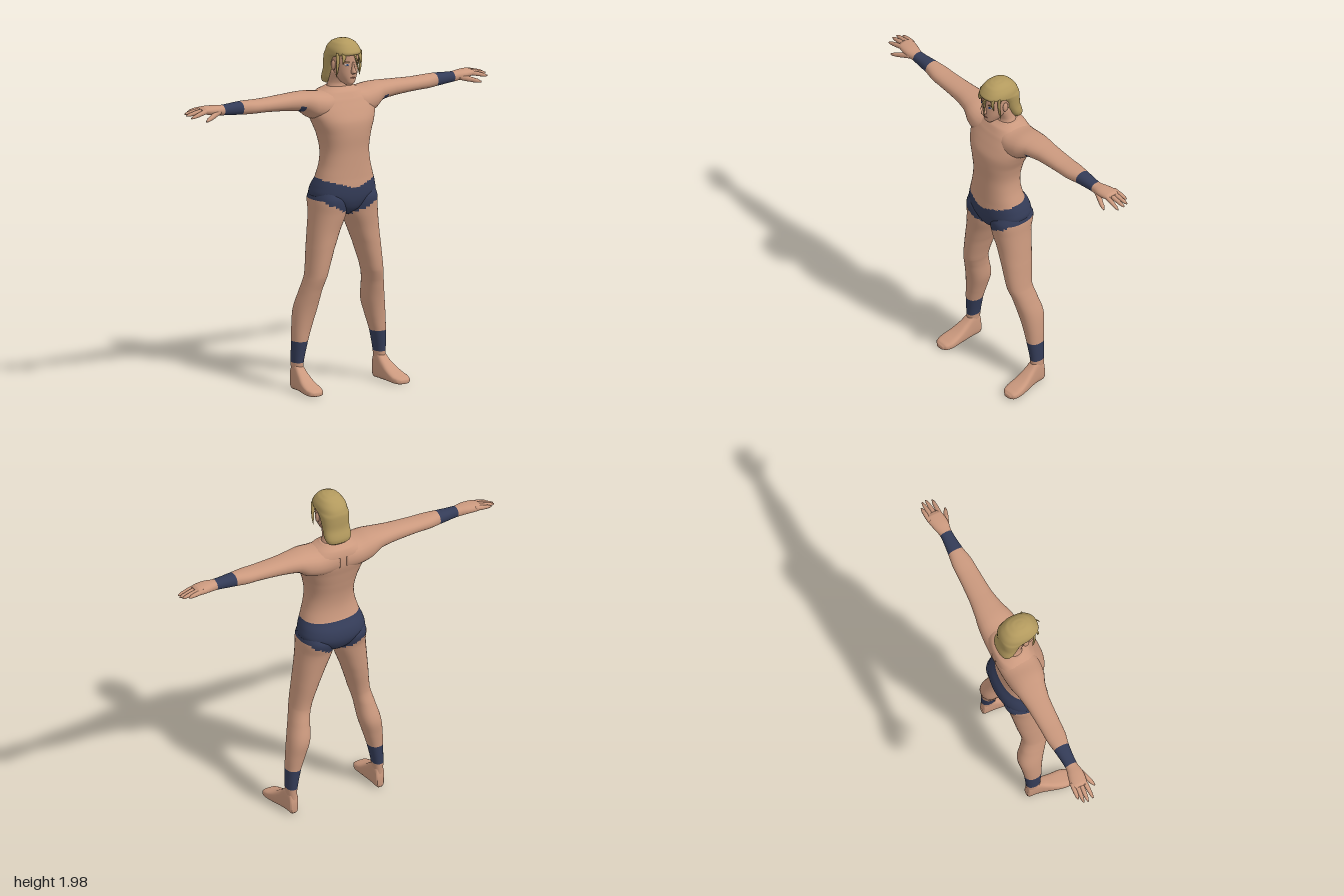
import * as THREE from 'three';

const mat = (name, color, side = THREE.FrontSide) => {
  const m = new THREE.MeshStandardMaterial({ color, side });
  m.name = name;
  return m;
};

// Catmull-Rom blend of one column of the station table
const blend = (a, b, c, d, t) =>
  0.5 * (2 * b + (c - a) * t + (2 * a - 5 * b + 4 * c - d) * t * t + (3 * b - a - 3 * c + d) * t * t * t);

// Places (along, u, v) in space for lofts running along each axis
const alongX = (t, u, v) => [t, u, v];
const alongY = (t, u, v) => [u, t, v];
const alongZ = (t, u, v) => [u, v, t];

// Closed rounded loft through stations [along, uMin, uMax, vMin, vMax].
// pick(x, y, z) gives the material index of each small face.
function loft(stations, place, { sides = 24, steps = 4, power = 0.9, mirror = 1, pick = () => 0 } = {}) {
  const pos = [], rows = [], n = stations.length;
  for (let i = 0; i < n - 1; i++) {
    const [a, b, c, d] = [i - 1, i, i + 1, i + 2].map(k => stations[Math.min(n - 1, Math.max(0, k))]);
    for (let s = 0; s < steps; s++) {
      const t = s / steps;
      rows.push(b.map((_, k) => k ? blend(a[k], b[k], c[k], d[k], t) : b[0] + (c[0] - b[0]) * t));
    }
  }
  rows.push(stations[n - 1]);
  const round = w => Math.sign(w) * Math.pow(Math.abs(w), power);
  const add = (t, u, v) => { const p = place(t, u, v); pos.push(p[0] * mirror, p[1], p[2]); };
  for (const [t, u0, u1, v0, v1] of rows) {
    for (let j = 0; j < sides; j++) {
      const a = j / sides * Math.PI * 2;
      add(t, (u0 + u1) / 2 + (u1 - u0) / 2 * round(Math.cos(a)), (v0 + v1) / 2 + (v1 - v0) / 2 * round(Math.sin(a)));
    }
  }
  const ends = [rows[0], rows[rows.length - 1]].map(([t, u0, u1, v0, v1]) => {
    add(t, (u0 + u1) / 2, (v0 + v1) / 2);
    return pos.length / 3 - 1;
  });
  const faces = [];
  const last = (rows.length - 1) * sides;
  for (let j = 0; j < sides; j++) {
    const k = (j + 1) % sides;
    for (let i = 0; i < rows.length - 1; i++) {
      const a = i * sides + j, b = i * sides + k, c = a + sides, d = b + sides;
      faces.push([a, b, d, a, d, c]);
    }
    faces.push([ends[0], k, j], [ends[1], last + j, last + k]);
  }
  // Turn the faces outward whichever way the loft runs
  const P = i => new THREE.Vector3().fromArray(pos, i * 3);
  const base = P(ends[0]);
  let volume = 0;
  for (const f of faces) for (let i = 0; i < f.length; i += 3) {
    const [a, b, c] = [P(f[i]).sub(base), P(f[i + 1]).sub(base), P(f[i + 2]).sub(base)];
    volume += a.dot(b.cross(c));
  }
  const buckets = [[], []];
  for (const f of faces) {
    const c = f.reduce((s, i) => s.add(P(i)), new THREE.Vector3()).divideScalar(f.length);
    buckets[pick(c.x, c.y, c.z)].push(...(volume < 0 ? [...f].reverse() : f));
  }
  const g = new THREE.BufferGeometry();
  g.setAttribute('position', new THREE.Float32BufferAttribute(pos, 3));
  g.setIndex(buckets.flat());
  g.addGroup(0, buckets[0].length, 0);
  if (buckets[1].length) g.addGroup(buckets[0].length, buckets[1].length, 1);
  g.computeVertexNormals();
  return g;
}

export function createModel() {
  const root = new THREE.Group();
  root.name = 'figure';
  const skin = mat('skin', 0xcb997e), navy = mat('navy cloth', 0x343c58);
  const hair = mat('hair', 0xb39a5e), brow = mat('brow', 0x6b5330);
  const white = mat('eye white', 0xd8d4d0), iris = mat('iris', 0x33487a), lips = mat('lips', 0x98604f);
  const add = (name, geometry, material, parent = root) => {
    const m = new THREE.Mesh(geometry, material);
    m.name = name;
    parent.add(m);
    return m;
  };
  const sym = rows => rows.map(([y, w, z0, z1]) => [y, -w, w, z0, z1]);

  // Briefs: V-shaped waistline in front, leg openings rising to the hips
  const briefs = (x, y, z) => {
    const top = z > 0 ? 1.145 + 0.3 * Math.abs(x) : 1.2;
    return y < top && y > 0.98 + 0.52 * Math.abs(x) ? 1 : 0;
  };

  // Torso
  add('torso', loft(sym([
    [0.985, 0.015, -0.06, 0.04], [1.02, 0.09, -0.125, 0.085], [1.06, 0.15, -0.155, 0.105],
    [1.1, 0.195, -0.165, 0.113], [1.15, 0.19, -0.155, 0.115], [1.2, 0.172, -0.125, 0.112],
    [1.28, 0.15, -0.11, 0.11], [1.36, 0.143, -0.115, 0.11], [1.45, 0.16, -0.135, 0.115],
    [1.52, 0.188, -0.152, 0.11], [1.58, 0.208, -0.167, 0.085], [1.64, 0.19, -0.168, 0.055],
    [1.68, 0.13, -0.155, 0.03], [1.705, 0.08, -0.12, 0],
  ]), alongY, { sides: 48, steps: 6, power: 0.87, pick: briefs }), [skin, navy]);
  add('neck', loft(sym([
    [1.64, 0.1, -0.13, 0.01], [1.69, 0.078, -0.115, 0], [1.73, 0.064, -0.1, -0.005], [1.8, 0.06, -0.09, 0.03],
  ]), alongY), skin);

  for (const mirror of [1, -1]) {
    const side = mirror > 0 ? 'left' : 'right';

    // Leg with ankle band
    const legPick = (x, y, z) => y > 0.8 ? briefs(x, y, z) : (y > 0.157 && y < 0.278 ? 1 : 0);
    add(side + 'Leg', loft([
      [0.05, 0.25, 0.3, -0.1, -0.02], [0.157, 0.243, 0.306, -0.105, -0.02], [0.278, 0.218, 0.304, -0.11, -0.008],
      [0.36, 0.192, 0.3, -0.12, 0], [0.46, 0.163, 0.288, -0.13, 0.017], [0.57, 0.15, 0.262, -0.102, 0.045],
      [0.65, 0.13, 0.243, -0.085, 0.07], [0.8, 0.085, 0.226, -0.105, 0.08], [0.9, 0.045, 0.215, -0.118, 0.085],
      [1.0, 0.005, 0.205, -0.132, 0.097], [1.08, 0.005, 0.2, -0.152, 0.105], [1.14, 0.03, 0.185, -0.12, 0.08],
    ], alongY, { sides: 32, steps: 6, mirror, pick: legPick }), [skin, navy]);

    // Foot
    add(side + 'Foot', loft([
      [-0.105, 0.255, 0.293, 0.01, 0.07], [-0.095, 0.248, 0.302, 0, 0.13], [-0.05, 0.244, 0.308, 0, 0.155],
      [0, 0.24, 0.318, 0, 0.115], [0.06, 0.236, 0.334, 0, 0.075], [0.12, 0.234, 0.343, 0, 0.05],
      [0.155, 0.246, 0.335, 0, 0.038], [0.17, 0.268, 0.315, 0.004, 0.025],
    ], alongZ, { power: 0.65, mirror }), skin);

    // Arm with wristband and a small patch at the armpit
    const armPick = (x, y, z) => {
      const a = Math.abs(x);
      return (a > 0.65 && a < 0.77) || (a > 0.265 && a < 0.293 && y < 1.63 && z > -0.04) ? 1 : 0;
    };
    add(side + 'Arm', loft([
      [0.02, 1.52, 1.7, -0.172, 0.04], [0.12, 1.52, 1.686, -0.168, 0.055], [0.2, 1.54, 1.694, -0.162, 0.045],
      [0.26, 1.583, 1.694, -0.152, 0.02], [0.35, 1.597, 1.69, -0.14, 0], [0.5, 1.607, 1.684, -0.132, -0.01],
      [0.58, 1.608, 1.685, -0.13, -0.015], [0.65, 1.612, 1.686, -0.12, -0.03], [0.77, 1.622, 1.68, -0.11, -0.04],
      [0.83, 1.63, 1.684, -0.125, -0.032], [0.89, 1.64, 1.682, -0.136, -0.04], [0.91, 1.65, 1.673, -0.125, -0.055],
    ], alongX, { steps: 8, mirror, pick: armPick }), [skin, navy]);

    // Fingers [tip x, z at the knuckle, z at the tip, y at the tip]
    const hand = new THREE.Group();
    hand.name = side + 'Hand';
    root.add(hand);
    const finger = (name, x0, y0, z0, x1, y1, z1, r) => add(name, loft([0, 0.5, 0.85, 1].map((t, i) => {
      const h = r * [1, 0.95, 0.7, 0.3][i], y = y0 + (y1 - y0) * t - 0.006 * t * t, z = z0 + (z1 - z0) * t;
      return [x0 + (x1 - x0) * t, y - h, y + h, z - h, z + h];
    }), alongX, { sides: 10, mirror }), skin, hand);
    [[0.965, -0.123, -0.13, 1.66], [0.995, -0.101, -0.11, 1.655], [1, -0.078, -0.085, 1.65], [0.99, -0.055, -0.05, 1.64]]
      .forEach(([x, z0, z1, y], i) => finger('finger' + (i + 1), 0.87, 1.664, z0, x, y, z1, 0.0135));
    finger('thumb', 0.8, 1.648, -0.052, 0.92, 1.622, -0.006, 0.016);

    // Ear, eye and brow
    const ear = add(side + 'Ear', new THREE.SphereGeometry(1, 12, 8), skin);
    ear.scale.set(0.01, 0.03, 0.018);
    ear.position.set(mirror * 0.073, 1.835, -0.002);
    const disc = (name, x, y, z, w, h, m) => {
      const d = add(name, new THREE.SphereGeometry(1, 14, 8), m);
      d.scale.set(w, h, 0.004);
      d.position.set(mirror * x, y, z);
      d.rotation.y = mirror * 0.4;
    };
    disc(side + 'Eye', 0.034, 1.845, 0.077, 0.015, 0.007, white);
    disc(side + 'Iris', 0.033, 1.845, 0.08, 0.007, 0.007, iris);
    disc(side + 'Brow', 0.035, 1.862, 0.078, 0.019, 0.004, brow);
  }

  // Head and face
  add('head', loft(sym([
    [1.722, 0.018, 0.02, 0.066], [1.738, 0.034, -0.02, 0.08], [1.78, 0.056, -0.06, 0.084], [1.82, 0.067, -0.09, 0.086],
    [1.87, 0.072, -0.1, 0.088], [1.92, 0.07, -0.1, 0.084], [1.955, 0.045, -0.07, 0.05],
  ]), alongY, { sides: 32 }), skin);
  add('nose', loft(sym([
    [1.79, 0.008, 0.07, 0.092], [1.8, 0.014, 0.07, 0.112], [1.825, 0.009, 0.07, 0.102], [1.86, 0.006, 0.07, 0.09],
  ]), alongY, { sides: 12 }), skin);
  const mouth = add('mouth', new THREE.SphereGeometry(1, 12, 8), lips);
  mouth.scale.set(0.018, 0.004, 0.004);
  mouth.position.set(0, 1.768, 0.083);

  // Hair: cap swept back to a long rounded fall behind the neck
  add('hair', loft(sym([
    [1.712, 0.05, -0.135, -0.09], [1.722, 0.07, -0.145, -0.075], [1.75, 0.08, -0.147, -0.055], [1.8, 0.079, -0.133, -0.03],
    [1.85, 0.082, -0.132, -0.005], [1.882, 0.085, -0.131, 0.03], [1.9, 0.086, -0.127, 0.096], [1.93, 0.08, -0.113, 0.088],
    [1.96, 0.06, -0.085, 0.064], [1.975, 0.035, -0.05, 0.035], [1.98, 0.01, -0.02, 0.01],
  ]), alongY, { sides: 36, power: 0.85 }), hair);

  // Fringe: tapered locks over the forehead and temples
  const locks = [
    [-0.074, 1.91, 0.045, -0.078, 1.77, 0.035, 0.012], [0.074, 1.91, 0.045, 0.078, 1.77, 0.035, 0.012],
    [-0.05, 1.91, 0.07, -0.06, 1.85, 0.075, 0.013], [0.05, 1.91, 0.07, 0.062, 1.84, 0.075, 0.013],
    [0.008, 1.915, 0.085, 0.024, 1.79, 0.112, 0.007], [0.012, 1.915, 0.085, 0.006, 1.84, 0.122, 0.006],
  ];
  locks.forEach(([x0, y0, z0, x1, y1, z1, r], i) => add('lock' + (i + 1), loft([0, 0.35, 0.75, 1].map((t, k) => {
    const h = r * [1, 0.9, 0.55, 0.1][k], x = x0 + (x1 - x0) * t;
    const z = z0 + (z1 - z0) * t + 0.02 * t * (1 - t);
    return [y0 + (y1 - y0) * t, x - h, x + h, z - h * 0.6, z + h * 0.6];
  }), alongY, { sides: 10 }), hair));

  return root;
}
